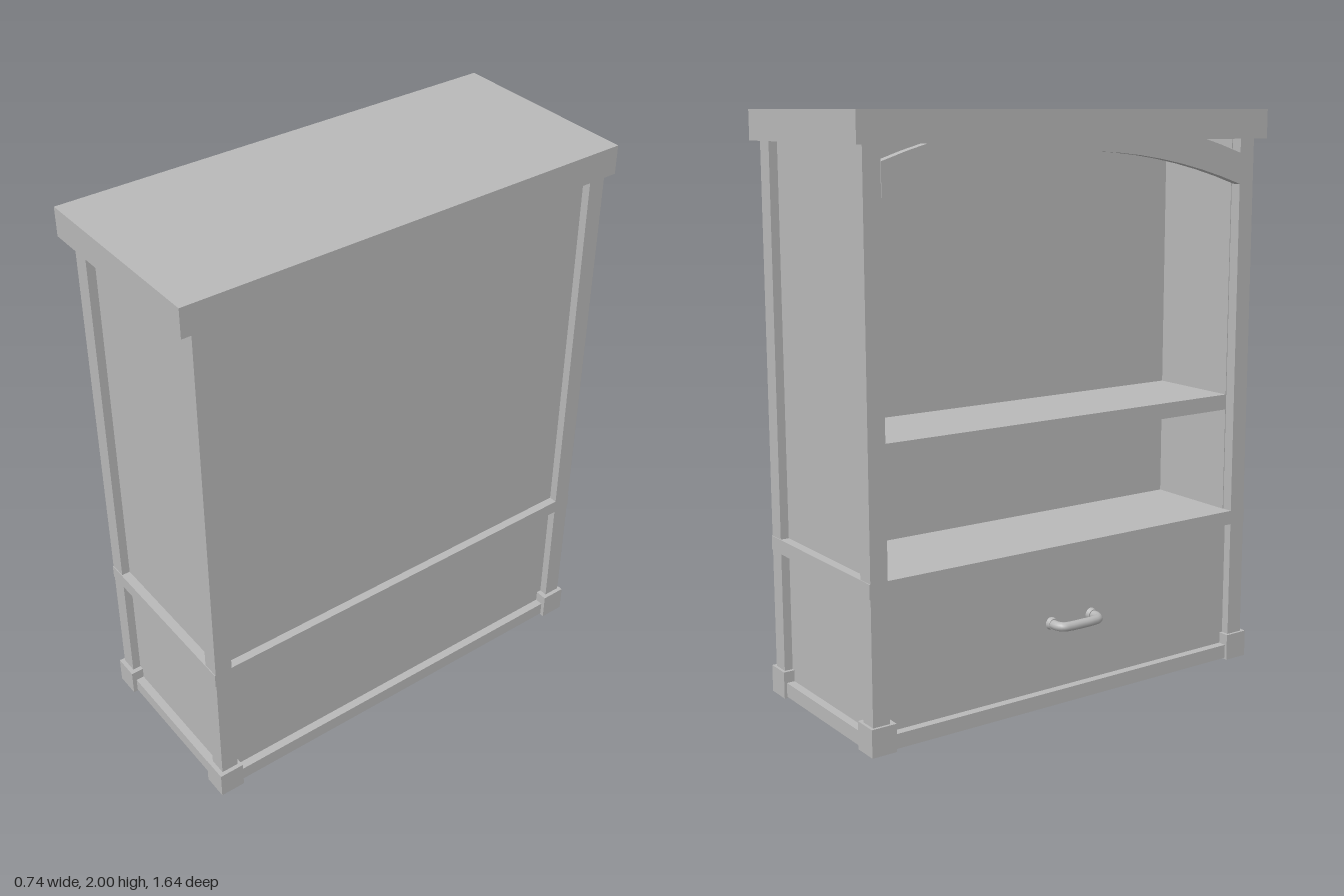
import * as THREE from 'three';

export function createModel() {
  const model = new THREE.Group();
  model.name = 'cabinet';
  const grey = new THREE.MeshStandardMaterial({ color: 0xb8b8b8 });
  grey.name = 'grey';

  const add = (name, geometry, parent = model) => {
    const mesh = new THREE.Mesh(geometry, grey);
    mesh.name = name;
    parent.add(mesh);
    return mesh;
  };
  // Box given by its lower and upper limits on each axis
  const box = (name, x0, x1, y0, y1, z0, z1) =>
    add(name, new THREE.BoxGeometry(x1 - x0, y1 - y0, z1 - z0))
      .position.set((x0 + x1) / 2, (y0 + y1) / 2, (z0 + z1) / 2);

  const X0 = -0.32, X1 = 0.35;     // outer faces of the posts
  const Z0 = -0.79, Z1 = 0.777;
  const W = 0.062, R = 0.03;       // post width, panel recess
  const TOP = 1.9, FLOOR = 0.565;

  // Top slab
  box('topSlab', -0.34, 0.367, TOP, 2, -0.82, 0.82);

  // Corner posts with block feet
  for (const [px, fx] of [[X0, -0.33], [X1 - W, 0.275]]) {
    for (const [pz, fz] of [[Z0, -0.8], [Z1 - W, 0.703]]) {
      box('cornerPost', px, px + W, 0.005, TOP, pz, pz + W);
      box('foot', fx, fx + 0.09, 0, 0.095, fz, fz + 0.09);
    }
  }

  // Base and middle rails, framing the recessed panels
  box('baseRail', X0, X1, 0.005, 0.055, Z0, Z1);
  box('middleRail', X0, X1, 0.515, FLOOR, Z0 - 0.003, Z1 + 0.003);

  // Closed lower body, whose -x face is the drawer front
  box('drawerBody', X0 + R, X1 - R, 0.03, 0.54, Z0 + R, Z1 - R);

  // Open upper compartment: back, side panels and shelf
  box('backPanel', 0.07, X1 - R, 0.54, TOP, Z0 + R, Z1 - R);
  box('sidePanel', X0 + 0.04, 0.08, 0.54, TOP, Z0 + R, Z0 + W + 0.003);
  box('sidePanel', X0 + 0.04, 0.08, 0.54, TOP, Z1 - W - 0.003, Z1 - R);
  box('shelf', X0 + 0.04, 0.08, 0.935, 0.99, Z0 + 0.05, Z1 - 0.05);

  // Arched band below the top slab, open in the upper corners
  const half = 0.722, zc = (Z0 + Z1) / 2;
  const curve = (y, s) => Array.from({ length: 17 }, (_, i) => {
    const t = s * (i / 8 - 1);
    return new THREE.Vector2(t * half, Math.min(y - 0.125 * t * t, TOP + 0.01));
  });
  const arch = add('archBand', new THREE.ExtrudeGeometry(
    new THREE.Shape([...curve(1.868, 1), ...curve(1.975, -1)]),
    { depth: 0.035, bevelEnabled: false }));
  arch.rotation.y = -Math.PI / 2;
  arch.position.set(X0 + 0.032, 0, zc);

  // Drawer handle: bent bar with a round collar at each end
  const handle = new THREE.Group();
  handle.name = 'drawerHandle';
  handle.position.set(X0 + R, 0.288, 0.01);
  model.add(handle);
  const path = new THREE.CatmullRomCurve3([
    [0.01, -0.085], [-0.035, -0.085], [-0.056, -0.073], [-0.062, -0.045],
    [-0.063, 0], [-0.062, 0.045], [-0.056, 0.073], [-0.035, 0.085], [0.01, 0.085],
  ].map(([x, z]) => new THREE.Vector3(x, 0, z)));
  add('handleBar', new THREE.TubeGeometry(path, 40, 0.016, 12), handle);
  for (const s of [-1, 1]) {
    const collar = add('handleCollar', new THREE.CylinderGeometry(0.019, 0.023, 0.018, 16), handle);
    collar.rotation.z = Math.PI / 2;
    collar.position.set(-0.006, 0, s * 0.085);
  }
  return model;
}
